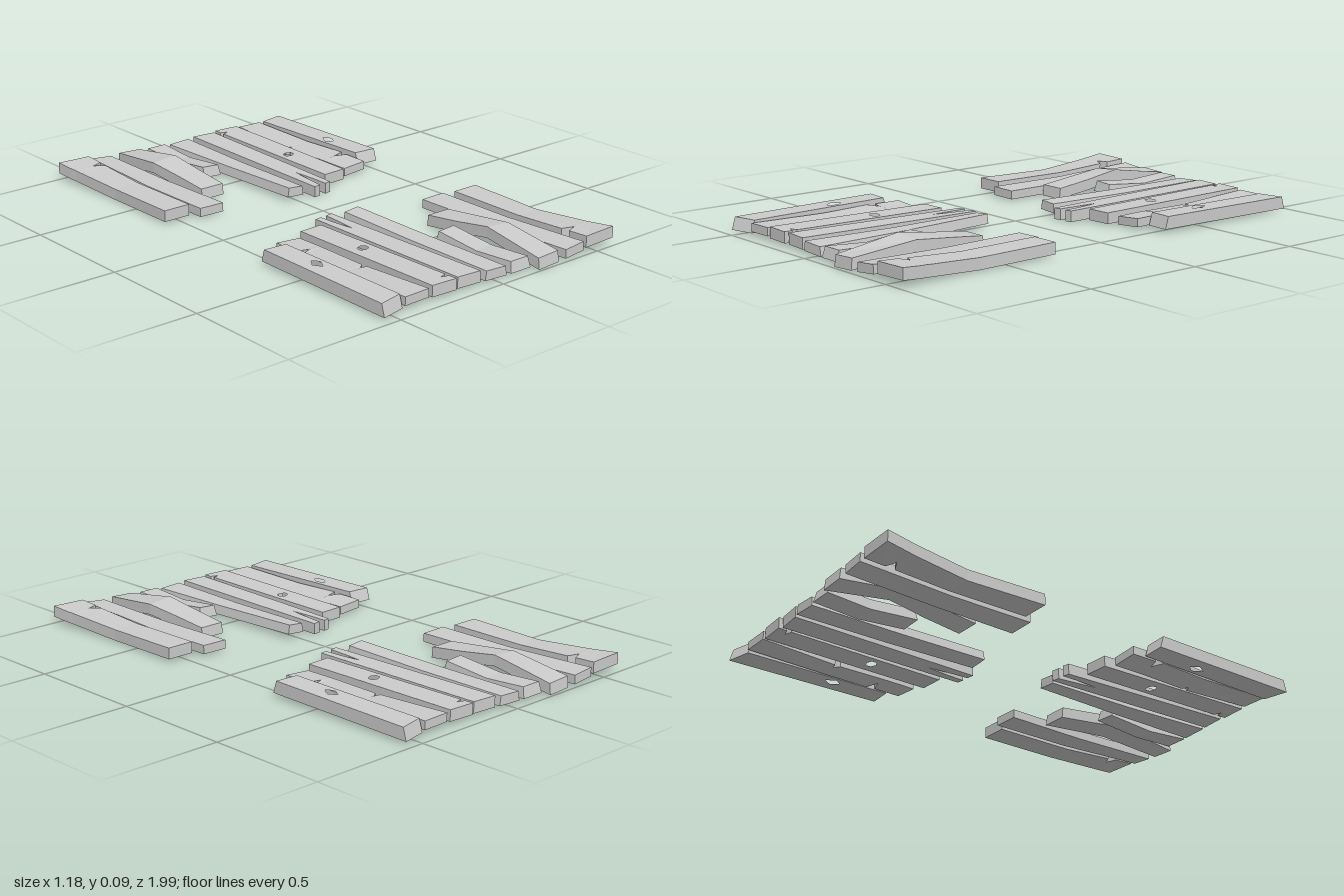
import * as THREE from 'three';

const material = new THREE.MeshStandardMaterial({ color: 0xcccccc, flatShading: true });

// Warped plank lofted through rows [z, left x, right x, left base y, right base y].
// inset narrows the top face, cut shortens it at both ends.
function loftPlank({ rows, t, inset = 0, cut = 0 }) {
  const pos = [], idx = [], last = rows.length - 1;
  rows.forEach(([z, xl, xr, bl, br], i) => {
    const zt = z + (i === 0 ? cut : i === last ? -cut : 0);
    pos.push(xl + inset, bl + t, zt, xr - inset, br + t, zt, xr, br, z, xl, bl, z);
  });
  for (let i = 0; i < last; i++) {
    for (let k = 0; k < 4; k++) {
      const a = i * 4 + k, b = i * 4 + (k + 1) % 4, c = b + 4, d = a + 4;
      idx.push(a, d, b, b, d, c);
    }
  }
  const e = last * 4;
  idx.push(0, 1, 2, 0, 2, 3, e, e + 2, e + 1, e, e + 3, e + 2);
  const g = new THREE.BufferGeometry();
  g.setAttribute('position', new THREE.Float32BufferAttribute(pos, 3));
  g.setIndex(idx);
  const flat = g.toNonIndexed();
  flat.computeVertexNormals();
  return flat;
}

// Straight plank cut from an outline of [x, z] points, with optional hole.
// base(x, z) gives the height of its underside.
function cutPlank({ outline, hole, t, base, cut = 0 }) {
  const toPoints = (list) => list.map(([x, z]) => new THREE.Vector2(x, -z));
  const shape = new THREE.Shape(toPoints(outline));
  if (hole) shape.holes.push(new THREE.Path(toPoints(hole)));
  const g = new THREE.ExtrudeGeometry(shape, { depth: t, bevelEnabled: false });
  g.rotateX(-Math.PI / 2);
  const p = g.attributes.position;
  for (let i = 0; i < p.count; i++) {
    const x = p.getX(i), z = p.getZ(i), top = p.getY(i) > t / 2;
    p.setY(i, p.getY(i) + base(x, z));
    if (top && z < 0.32) p.setZ(i, z + cut);
    if (top && z > 0.93) p.setZ(i, z - cut);
  }
  g.computeVertexNormals();
  return g;
}

const planks = {
  diamondHolePlank: cutPlank({
    outline: [[-0.548, 0.295], [-0.45, 0.302], [-0.443, 0.945], [-0.548, 0.968]],
    hole: [[-0.485, 0.502], [-0.462, 0.53], [-0.485, 0.57], [-0.507, 0.535]],
    t: 0.05, cut: 0.015, base: (x, z) => 0.025 - 0.01 * z,
  }),
  notchedPlank: loftPlank({
    t: 0.034,
    rows: [
      [0.25, -0.44, -0.33, 0.02, 0.012], [0.365, -0.44, -0.328, 0.021, 0.013],
      [0.382, -0.39, -0.328, 0.021, 0.013], [0.402, -0.445, -0.328, 0.021, 0.013],
      [0.6, -0.437, -0.325, 0.018, 0.01], [0.618, -0.436, -0.35, 0.018, 0.01],
      [0.625, -0.436, -0.323, 0.018, 0.01], [0.95, -0.435, -0.322, 0.024, 0.026],
    ],
  }),
  roundHolePlank: cutPlank({
    outline: [[-0.3, 0.222], [-0.197, 0.218], [-0.196, 0.9], [-0.228, 0.91], [-0.196, 0.92],
      [-0.195, 0.957], [-0.306, 0.95]],
    hole: [[-0.262, 0.5], [-0.24, 0.49], [-0.22, 0.5], [-0.222, 0.522], [-0.245, 0.53], [-0.265, 0.52]],
    t: 0.045, base: (x, z) => 0.01 + 0.012 * z,
  }),
  splitPlank: cutPlank({
    outline: [[-0.165, 0.15], [-0.136, 0.145], [-0.134, 0.22], [-0.126, 0.32], [-0.117, 0.25],
      [-0.108, 0.145], [-0.076, 0.14], [-0.075, 0.957], [-0.18, 0.948]],
    t: 0.045, base: (x, z) => 0.006 + 0.014 * z,
  }),
  middlePlank: loftPlank({
    t: 0.038, inset: 0.006,
    rows: [[0.17, -0.04, 0.04, 0.02, 0.026], [0.57, -0.047, 0.046, 0.016, 0.018],
      [0.963, -0.056, 0.053, 0.02, 0.015]],
  }),
  shortPlank: loftPlank({
    t: 0.043, inset: 0.006, cut: 0.01,
    rows: [[0.57, 0.073, 0.162, 0.025, 0.03], [0.78, 0.072, 0.164, 0.006, 0.01],
      [0.97, 0.07, 0.17, 0.018, 0.018]],
  }),
  humpedPlank: loftPlank({
    t: 0.045, cut: 0.005,
    rows: [[0.4, 0.19, 0.297, 0.012, 0.012], [0.56, 0.191, 0.3, 0.03, 0.028],
      [0.72, 0.195, 0.306, 0.053, 0.044], [0.997, 0.188, 0.291, 0.01, 0.015]],
  }),
  bentPlank: loftPlank({
    t: 0.036,
    rows: [[0.242, 0.313, 0.425, 0.012, 0.014], [0.6, 0.322, 0.426, 0.01, 0.012],
      [0.997, 0.33, 0.425, 0.018, 0.027]],
  }),
  outerPlank: loftPlank({
    t: 0.046,
    rows: [[0.283, 0.45, 0.567, 0.016, 0.016], [0.63, 0.45, 0.56, 0.013, 0.01],
      [0.865, 0.447, 0.578, 0.025, 0.025], [0.887, 0.492, 0.58, 0.028, 0.027],
      [0.905, 0.445, 0.583, 0.028, 0.028], [0.993, 0.444, 0.592, 0.032, 0.036]],
  }),
};

// One row of broken planks
function plankRow(name) {
  const row = new THREE.Group();
  row.name = name;
  for (const [part, geometry] of Object.entries(planks)) {
    const mesh = new THREE.Mesh(geometry, material);
    mesh.name = part;
    row.add(mesh);
  }
  return row;
}

export function createModel() {
  const model = new THREE.Group();
  model.name = 'brokenPlankFloor';
  const front = plankRow('frontPlanks');
  // The back row is the front row turned half way round
  const back = plankRow('backPlanks');
  back.rotation.y = Math.PI;
  front.position.y = back.position.y = -0.005;
  model.add(front, back);
  return model;
}
